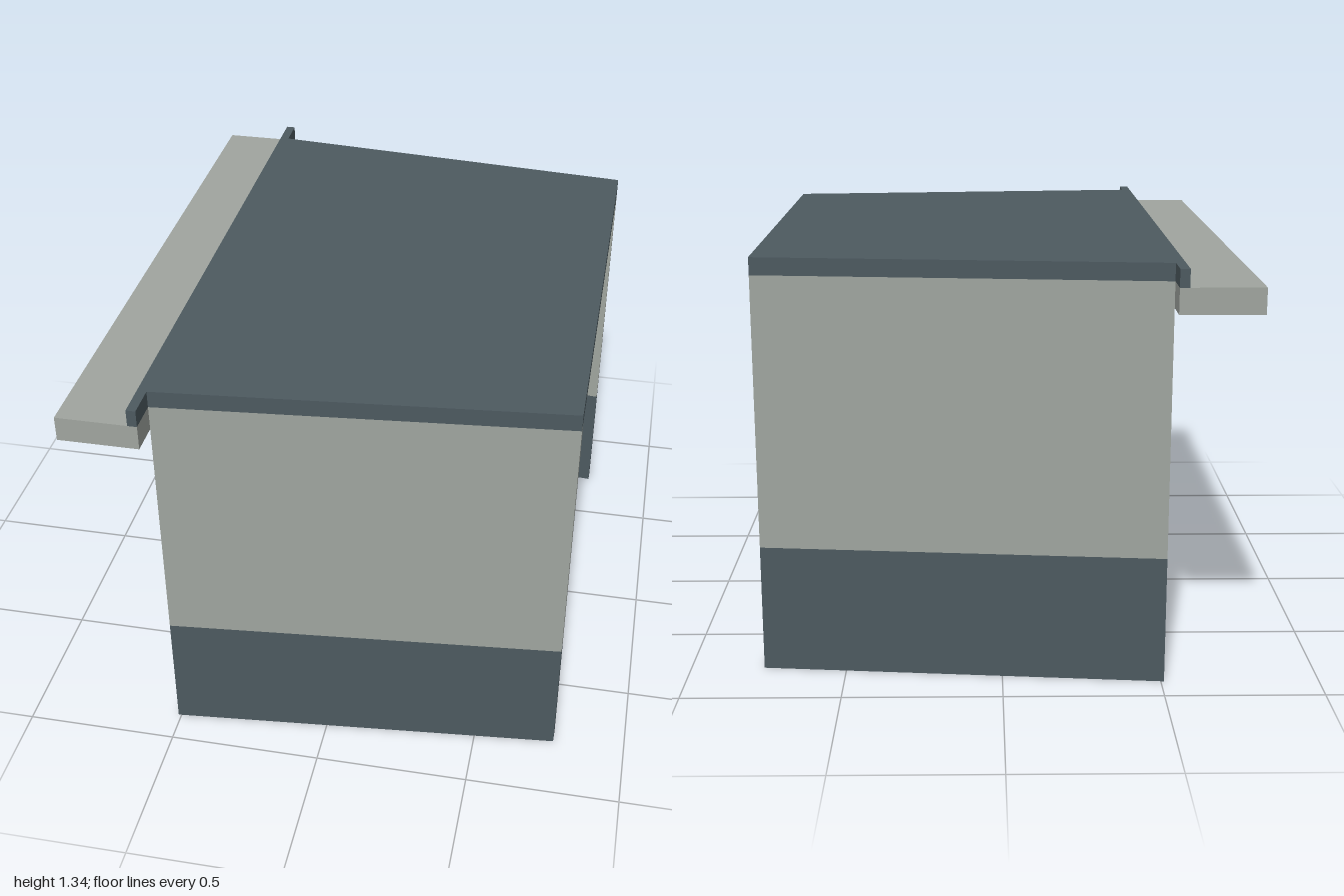
import * as THREE from 'three';

export function createModel() {
  const model = new THREE.Group();
  model.name = 'shelter';
  const slate = new THREE.MeshStandardMaterial({ color: 0x4d5a60 });
  slate.name = 'slate';
  const stone = new THREE.MeshStandardMaterial({ color: 0xa0a59f });
  stone.name = 'pale stone';

  const BACK = -0.51, FRONT = 0.765, EAVES = 1.28, TOP = 1.335;

  const add = (name, geometry, material, parent = model) => {
    const mesh = new THREE.Mesh(geometry, material);
    mesh.name = name;
    parent.add(mesh);
    return mesh;
  };

  // Box given by its limits on each axis
  const box = (name, [x0, x1], [y0, y1], [z0, z1], material, parent) =>
    add(name, new THREE.BoxGeometry(x1 - x0, y1 - y0, z1 - z0), material, parent)
      .position.set((x0 + x1) / 2, (y0 + y1) / 2, (z0 + z1) / 2);

  // Upright prism over a plan outline of [x, z] corners
  const prism = (name, plan, y0, y1, material, parent) => {
    const shape = new THREE.Shape(plan.map(([x, z]) => new THREE.Vector2(x, -z)));
    const geometry = new THREE.ExtrudeGeometry(shape, { depth: y1 - y0, bevelEnabled: false });
    geometry.rotateX(-Math.PI / 2);
    add(name, geometry, material, parent).position.y = y0;
  };

  // Tapered roof slab
  prism('roof', [[BACK, 0.895], [FRONT, 0.775], [FRONT, -0.775], [BACK, -0.895]], EAVES, TOP, slate);

  // Canopy and the fascia standing on it
  box('fascia', [-0.54, BACK], [EAVES, TOP], [-1, 1], slate);
  box('canopy', [-0.765, BACK], [1.2, EAVES], [-1, 1], stone);

  // Splayed side walls with a dark lower band
  for (const [side, s] of [['left', 1], ['right', -1]]) {
    const wall = new THREE.Group();
    wall.name = side + 'Wall';
    model.add(wall);
    const plan = [[BACK, 0.895 * s], [FRONT, 0.775 * s], [FRONT, 0.72 * s], [BACK, 0.84 * s]];
    prism('lowerWall', plan, 0, 0.41, slate, wall);
    prism('upperWall', plan, 0.41, EAVES, stone, wall);
  }

  // Portal frame: one outline holding both legs and the beam
  const portal = new THREE.Shape([
    [-0.72, 0], [-0.55, 0], [-0.55, 1.13], [0.55, 1.13],
    [0.55, 0], [0.72, 0], [0.72, EAVES], [-0.72, EAVES],
  ].map(([z, y]) => new THREE.Vector2(z, y)));
  const frame = new THREE.ExtrudeGeometry(portal, { depth: 0.145, bevelEnabled: false });
  frame.rotateY(Math.PI / 2);
  add('portalFrame', frame, stone).position.x = 0.033;

  // Ceiling lamp
  const lamp = new THREE.Group();
  lamp.name = 'ceilingLamp';
  model.add(lamp);
  box('lampStem', [0.27, 0.3], [1.255, EAVES], [-0.015, 0.015], stone, lamp);
  box('lampHousing', [0.185, 0.385], [1.22, 1.255], [-0.057, 0.057], stone, lamp);
  box('lampDiffuser', [0.2, 0.37], [1.205, 1.22], [-0.04, 0.04], stone, lamp);

  return model;
}
